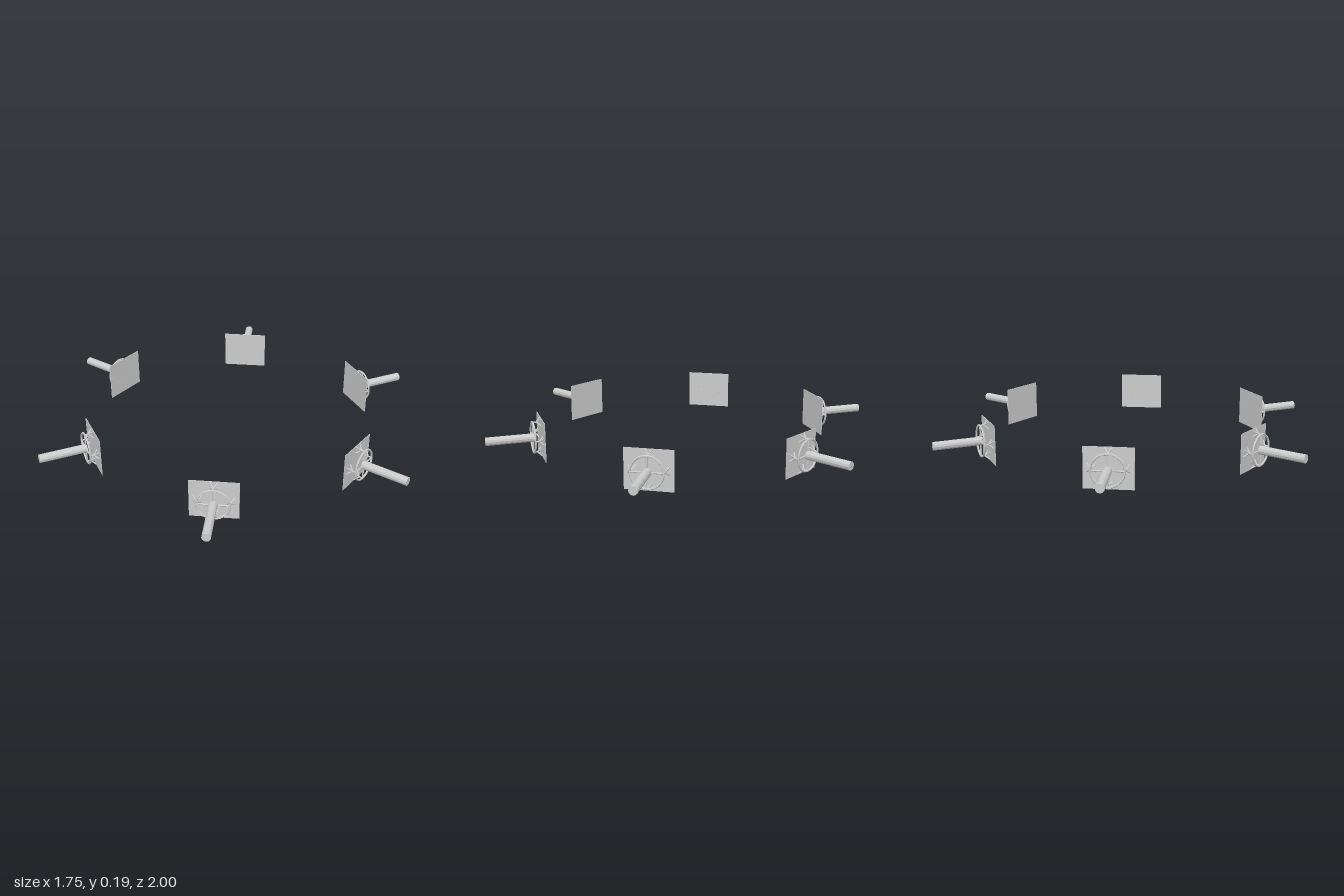
import * as THREE from 'three';

const mat = new THREE.MeshStandardMaterial({ color: 0xcccccc, flatShading: true });
const MID = 0.0975;                       // height of each arm's axis
const PANEL = 0.73, APEX = 0.753, RING = 0.77, TIP = 1.0;
const RADIUS = 0.076;                     // of the mounting ring

function add(parent, name, geometry) {
  const mesh = new THREE.Mesh(geometry, mat);
  mesh.name = name;
  parent.add(mesh);
  return mesh;
}

// Round bar between two points
function bar(parent, name, a, b, radius, sides = 6) {
  const dir = b.clone().sub(a);
  const mesh = add(parent, name, new THREE.CylinderGeometry(radius, radius, dir.length(), sides));
  mesh.position.copy(a).add(b).multiplyScalar(0.5);
  mesh.quaternion.setFromUnitVectors(new THREE.Vector3(0, 1, 0), dir.normalize());
}

// One station pointing along +z: panel, braces, ring, spokes and rod
function station() {
  const g = new THREE.Group();
  const at = (x, y, z) => new THREE.Vector3(x, y, z);

  add(g, 'panel', new THREE.BoxGeometry(0.23, 0.195, 0.003)).position.z = PANEL;
  add(g, 'mountingRing', new THREE.TorusGeometry(RADIUS, 0.005, 6, 32)).position.z = RING;
  bar(g, 'rod', at(0, 0, RING - 0.004), at(0, 0, TIP), 0.021, 12);

  for (let i = 0; i < 4; i++) {
    const a = i * Math.PI / 2;
    const x = RADIUS * Math.cos(a), y = RADIUS * Math.sin(a);
    bar(g, 'spoke', at(0, 0, RING), at(x, y, RING), 0.004);
    bar(g, 'post', at(x, y, RING), at(x, y, APEX), 0.004);
    // Four splayed legs from each post to the panel
    for (const sx of [-1, 1]) for (const sy of [-1, 1]) {
      bar(g, 'braceLeg', at(x, y, APEX), at(x + sx * 0.018, y + sy * 0.018, PANEL), 0.0035);
    }
  }
  return g;
}

export function createModel() {
  const model = new THREE.Group();
  // Six stations evenly around the circle
  for (let i = 0; i < 6; i++) {
    const s = station();
    s.name = 'station' + (i + 1);
    s.position.y = MID;
    s.rotation.y = i * Math.PI / 3;
    model.add(s);
  }
  return model;
}
